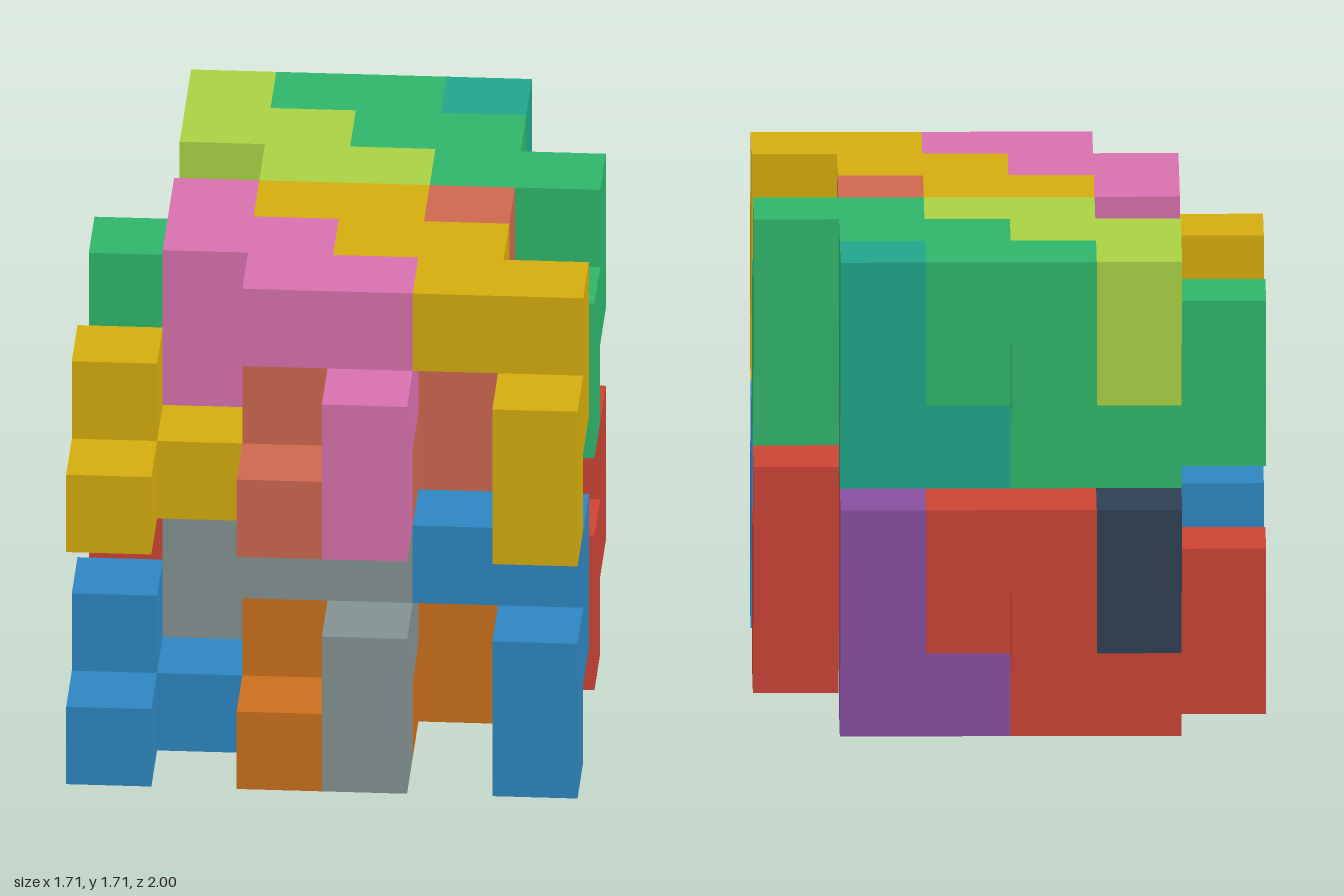
import * as THREE from 'three';
import { mergeGeometries } from 'three/addons/utils/BufferGeometryUtils.js';

const U = 2 / 7; // edge of one cube

// The two halves of a puzzle piece, as cells "xyz" counted from left, bottom, back
const UPPER = ['123', '124', '224', '225', '325', '315', '316', '306', '114'];
const LOWER = ['223', '213', '214', '204', '104', '105', '005', '015', '006'];

const cells = (half, dx) => half.map((c) => {
  const [x, y, z] = [...c].map(Number);
  return [x + dx, y, z];
});

// One block of three interlocking pieces: a whole one between two halves
const SHAPES = {
  upperHalf: cells(UPPER, 0),
  wholePiece: [...cells(UPPER, 2), ...cells(LOWER, 0)],
  lowerHalf: cells(LOWER, 2),
};

// Outward directions with the turn that points a plane that way
const SIDES = [
  [[0, 0, 1], 0, 0], [[0, 0, -1], 0, Math.PI],
  [[1, 0, 0], 0, Math.PI / 2], [[-1, 0, 0], 0, -Math.PI / 2],
  [[0, 1, 0], -Math.PI / 2, 0], [[0, -1, 0], Math.PI / 2, 0],
];

// Outer skin of a set of cubes: a square wherever a cube has no neighbour
function cubeSkin(list) {
  const filled = new Set(list.map(String));
  const faces = [];
  for (const [x, y, z] of list) {
    for (const [[a, b, c], rx, ry] of SIDES) {
      if (filled.has(String([x + a, y + b, z + c]))) continue;
      const face = new THREE.PlaneGeometry(U, U).rotateX(rx).rotateY(ry);
      faces.push(face.translate((x - 2.5 + a / 2) * U, (y + 0.5 + b / 2) * U, (z - 3 + c / 2) * U));
    }
  }
  return mergeGeometries(faces);
}

// The four blocks: cubes moved up and back, and the colours of their pieces
const BLOCKS = [
  { name: 'topFront', up: 3, back: 0, upperHalf: 0xd770ad, wholePiece: 0xd4ac0d, lowerHalf: 0xcd6650 },
  { name: 'topBack', up: 3, back: 3, upperHalf: 0xa9d144, wholePiece: 0x2fb56a, lowerHalf: 0x20a58a },
  { name: 'bottomFront', up: 0, back: 0, upperHalf: 0x839192, wholePiece: 0x2e86c1, lowerHalf: 0xca6f1e },
  { name: 'bottomBack', up: 0, back: 3, upperHalf: 0x2e4053, wholePiece: 0x884ea0, lowerHalf: 0xcb4335 },
];
// The lower back block swaps the two warm and cool shades
[BLOCKS[3].wholePiece, BLOCKS[3].lowerHalf] = [0xcb4335, 0x884ea0];

export function createModel() {
  const model = new THREE.Group();
  model.name = 'interlockingCubePuzzle';
  const skins = Object.entries(SHAPES).map(([name, list]) => [name, cubeSkin(list)]);
  for (const block of BLOCKS) {
    const group = new THREE.Group();
    group.name = block.name + 'Block';
    group.position.set(0, block.up * U, -block.back * U);
    for (const [name, skin] of skins) {
      const mesh = new THREE.Mesh(skin, new THREE.MeshStandardMaterial({ color: block[name] }));
      mesh.name = name;
      group.add(mesh);
    }
    model.add(group);
  }
  return model;
}
